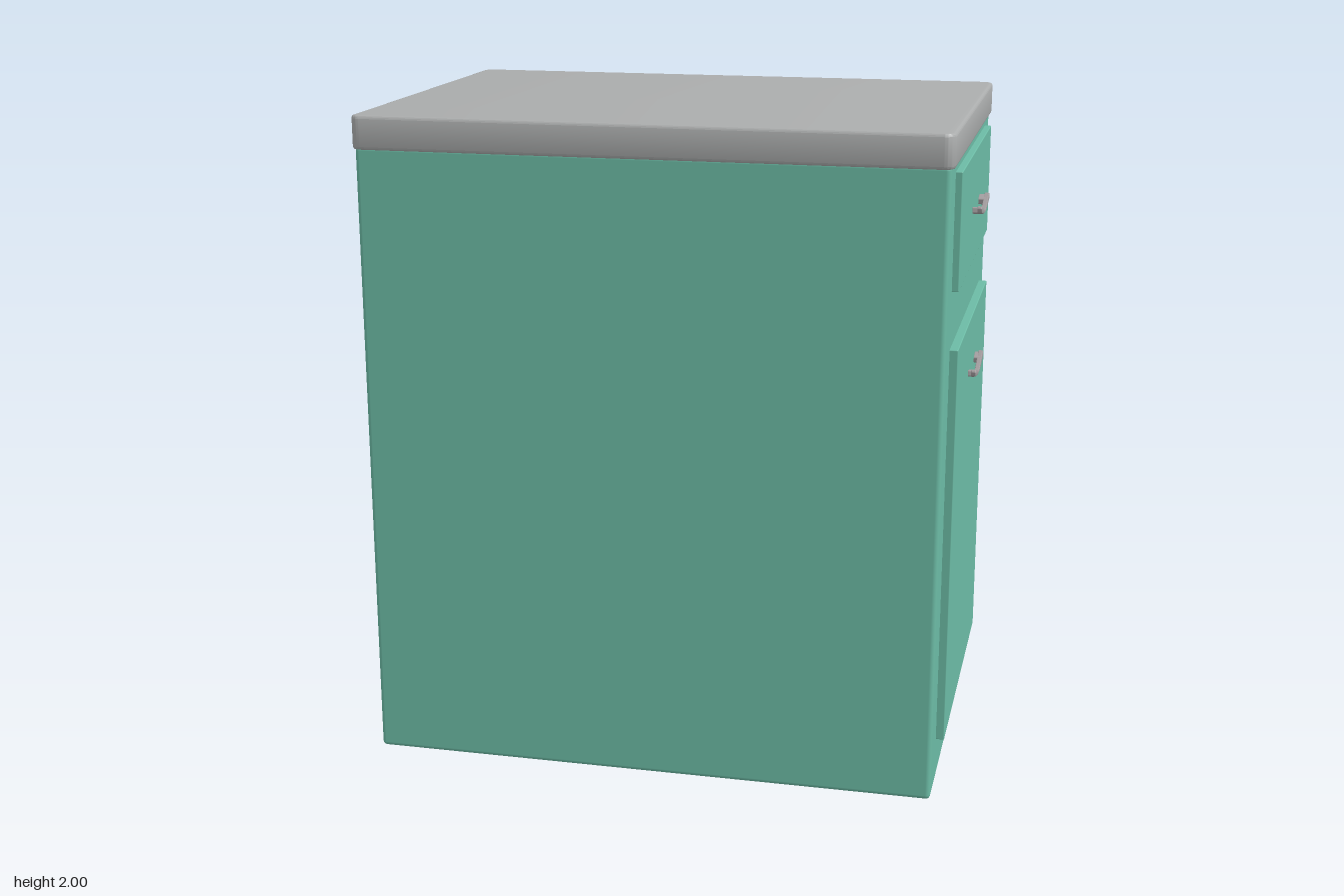
import * as THREE from 'three';
import { toCreasedNormals } from 'three/addons/utils/BufferGeometryUtils.js';
import { RoundedBoxGeometry } from 'three/addons/geometries/RoundedBoxGeometry.js';

const green = new THREE.MeshStandardMaterial({ name: 'green paint', color: 0x6cbba5 });
const grey = new THREE.MeshStandardMaterial({ name: 'grey worktop', color: 0xabadad });
const metal = new THREE.MeshStandardMaterial({ name: 'handle metal', color: 0xa39d9f });

function add(parent, name, geometry, material, x = 0, y = 0, z = 0) {
  const mesh = new THREE.Mesh(geometry, material);
  mesh.name = name;
  mesh.position.set(x, y, z);
  parent.add(mesh);
  return mesh;
}

// Rectangle outline with rounded corners, centred on the origin
function roundedRect(w, h, r) {
  const s = new THREE.Shape();
  const x = w / 2 - r, y = h / 2 - r;
  s.absarc(x, y, r, 0, Math.PI / 2);
  s.absarc(-x, y, r, Math.PI / 2, Math.PI);
  s.absarc(-x, -y, r, Math.PI, Math.PI * 1.5);
  s.absarc(x, -y, r, Math.PI * 1.5, Math.PI * 2);
  s.closePath();
  return s;
}

// Worktop slab: rounded corners and softened rims
function slabGeometry(w, d, h, r, bevel) {
  const geo = new THREE.ExtrudeGeometry(roundedRect(w - 2 * bevel, d - 2 * bevel, r), {
    depth: h - 2 * bevel, bevelEnabled: true, bevelSize: bevel, bevelThickness: bevel,
    bevelSegments: 3, curveSegments: 8,
  });
  geo.rotateX(-Math.PI / 2).translate(0, bevel, 0);
  return toCreasedNormals(geo, 0.7);
}

// Shallow V pull on two feet, origin at the panel surface
function makeHandle(name, proud) {
  const handle = new THREE.Group();
  handle.name = name;
  const t = 0.009, end = 0.122;
  const bar = new THREE.Shape();
  bar.moveTo(-end, 0.017 + t);
  bar.quadraticCurveTo(-end - 0.016, 0.017 + t, -end - 0.01, 0.012);
  bar.quadraticCurveTo(-end - 0.008, 0.012 - t, -end + 0.005, 0.013 - t);
  bar.quadraticCurveTo(0, -0.019 - t, end - 0.005, 0.013 - t);
  bar.quadraticCurveTo(end + 0.008, 0.012 - t, end + 0.01, 0.012);
  bar.quadraticCurveTo(end + 0.016, 0.017 + t, end, 0.017 + t);
  bar.lineTo(0.02, -0.012 + t);
  bar.quadraticCurveTo(0, -0.016 + t, -0.02, -0.012 + t);
  bar.closePath();
  const geo = new THREE.ExtrudeGeometry(bar, {
    depth: 0.009, bevelEnabled: true, bevelSize: 0.003, bevelThickness: 0.003,
    bevelOffset: -0.003, bevelSegments: 2, curveSegments: 8,
  });
  geo.rotateY(Math.PI / 2);
  add(handle, 'handleBar', toCreasedNormals(geo, 0.7), metal, proud - 0.012);
  for (const side of [-1, 1]) {
    const foot = add(handle, 'handleFoot', new RoundedBoxGeometry(proud, 0.02, 0.045, 2, 0.005),
      metal, proud / 2 - 0.003, 0.009, side * 0.102);
    foot.rotation.x = -side * 0.2;
  }
  return handle;
}

export function createModel() {
  const cabinet = new THREE.Group();
  cabinet.name = 'cabinet';

  // Carcass and worktop
  add(cabinet, 'body', new RoundedBoxGeometry(1.74, 1.91, 1.24, 3, 0.014), green, -0.02, 0.955, 0);
  add(cabinet, 'worktop', slabGeometry(1.76, 1.26, 0.1, 0.022, 0.009), grey, -0.02, 1.9, 0);

  // Drawer front and door, each with a pull
  const panels = [
    { name: 'drawerFront', bottom: 1.53, top: 1.875, face: 0.87, handleY: 1.69 },
    { name: 'door', bottom: 0.14, top: 1.36, face: 0.875, handleY: 1.185 },
  ];
  for (const p of panels) {
    const depth = p.face - 0.84;
    add(cabinet, p.name, new RoundedBoxGeometry(depth, p.top - p.bottom, 0.97, 2, 0.003), green,
      p.face - depth / 2, (p.top + p.bottom) / 2, 0.003);
    const handle = makeHandle(p.name + 'Handle', 0.9 - p.face);
    handle.position.set(p.face, p.handleY, 0.003);
    cabinet.add(handle);
  }

  // Hinges beside the door
  for (const y of [0.385, 1.215]) {
    add(cabinet, 'hinge', new THREE.BoxGeometry(0.02, 0.05, 0.014), metal, 0.858, y, -0.487);
  }
  return cabinet;
}
